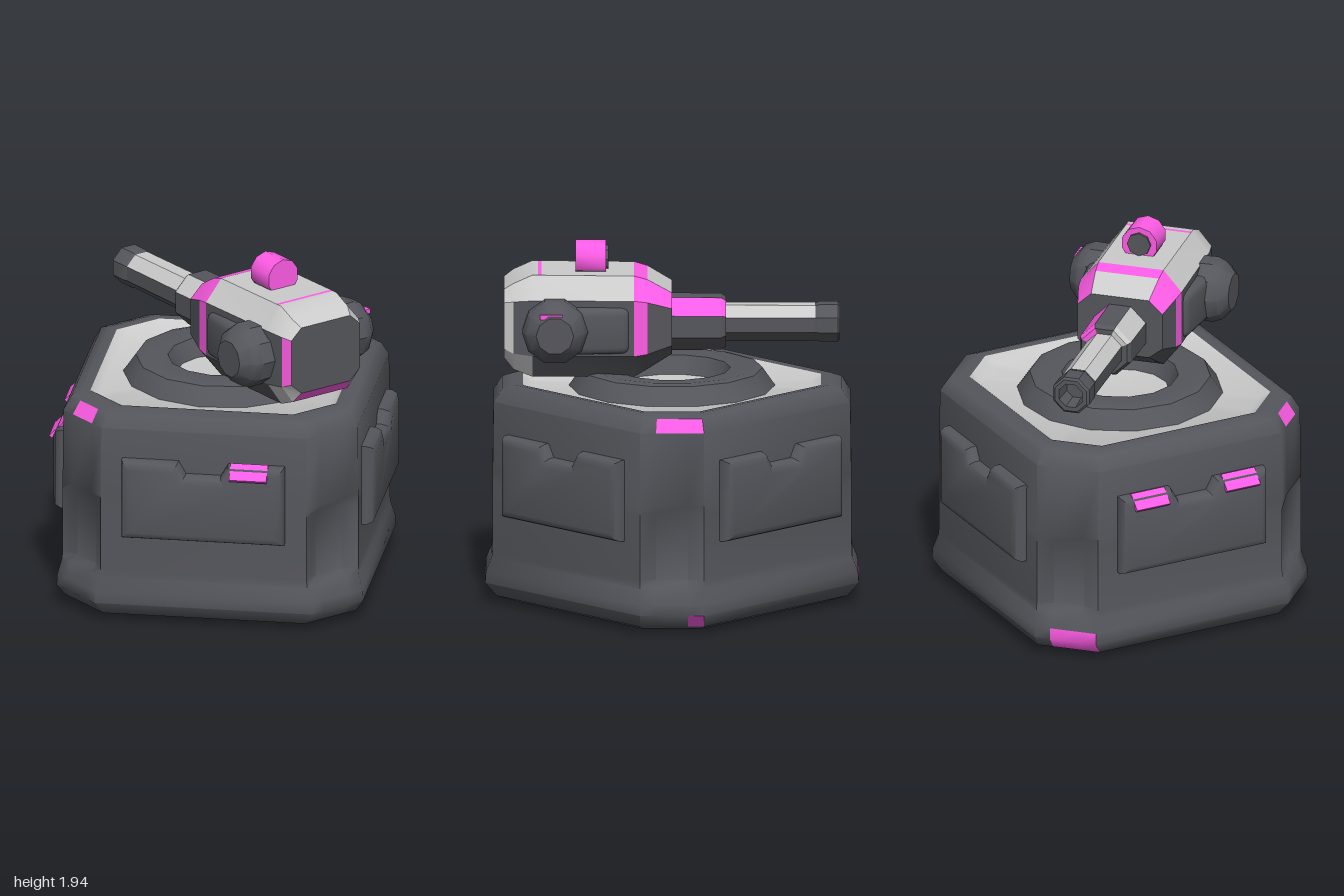
import * as THREE from 'three';
import { toCreasedNormals } from 'three/addons/utils/BufferGeometryUtils.js';
import { RoundedBoxGeometry } from 'three/addons/geometries/RoundedBoxGeometry.js';

const mat = (color) => new THREE.MeshStandardMaterial({ color, side: THREE.DoubleSide });
const DARK = mat(0x55565c), LIGHT = mat(0xcccccc), PINK = mat(0xff5ce6);

function add(parent, name, geometry, material, crease = 0.6) {
  const mesh = new THREE.Mesh(toCreasedNormals(geometry, crease), material);
  mesh.name = name;
  parent.add(mesh);
  return mesh;
}

// Skin closed loops of points; paint(row, column) picks each quad's material.
function loft(name, rows, paint, crease) {
  const group = new THREE.Group(), buckets = new Map();
  group.name = name;
  const n = rows[0].length;
  for (let r = 0; r < rows.length - 1; r++) {
    for (let c = 0; c < n; c++) {
      const d = (c + 1) % n, m = paint(r, c);
      if (!buckets.has(m)) buckets.set(m, []);
      const a = rows[r][c], b = rows[r + 1][c], e = rows[r][d], f = rows[r + 1][d];
      for (const [p, q, s] of [[a, b, e], [e, b, f]]) {
        if (new THREE.Triangle(p, q, s).getArea() > 1e-7) {
          for (const v of [p, q, s]) buckets.get(m).push(v.x, v.y, v.z);
        }
      }
    }
  }
  for (const [m, pos] of buckets) {
    const g = new THREE.BufferGeometry();
    g.setAttribute('position', new THREE.Float32BufferAttribute(pos, 3));
    g.computeVertexNormals();
    add(group, name + 'Skin', g, m, crease);
  }
  return group;
}

// Diamond base: each corner is a flat chamfer that can be dented in its middle.
function makeBase() {
  const levels = [ // y, corner reach, chamfer half width, dent
    [0.01, 0, 0, 0], [0.01, 0.8, 0.15, 0], [0.05, 0.93, 0.17, 0], [0.12, 0.99, 0.17, 0],
    [0.18, 0.985, 0.17, 0], [0.26, 0.955, 0.17, 0], [0.3, 0.95, 0.17, 0.035],
    [0.66, 0.95, 0.17, 0.035], [0.71, 0.95, 0.17, 0], [1.1, 0.945, 0.17, 0],
    [1.17, 0.9, 0.16, 0], [1.19, 0.84, 0.15, 0], [1.185, 0.79, 0.14, 0],
    [1.155, 0.74, 0.13, 0], [1.155, 0, 0, 0],
  ];
  const rows = levels.map(([y, e, w, dent]) => {
    const loop = [];
    for (let k = 0; k < 4; k++) {
      for (const [t, d] of [[-w, 0], [-w / 2, dent], [w / 2, dent], [w, 0]]) {
        let x = e - d, z = t;
        for (let i = 0; i < k; i++) [x, z] = [-z, x];
        loop.push(new THREE.Vector3(x, y, z));
      }
    }
    return loop;
  });
  const base = loft('base', rows, (r, c) => {
    if (r >= 12) return LIGHT;
    if (r === 9 && (c < 2 || c === 9)) return PINK;
    if ((r === 2 || r === 3) && c >= 12 && c < 14) return PINK;
    if (r === 2 && c === 0) return PINK;
    return DARK;
  }, 0.85);

  // Raised, notched plate on each of the four faces
  const plate = new THREE.Shape([
    [-0.39, 0.545], [0.39, 0.545], [0.39, 0.895], [0.16, 0.895], [0.12, 0.825],
    [-0.12, 0.825], [-0.16, 0.895], [-0.39, 0.895],
  ].map(([x, y]) => new THREE.Vector2(x, y)));
  const marks = [[], [], [-0.27, 0.27], [0.25]]; // accent positions per face
  for (let k = 0; k < 4; k++) {
    const side = new THREE.Group();
    side.name = 'sidePlate';
    side.rotation.y = Math.PI / 4 + k * Math.PI / 2;
    const g = new THREE.ExtrudeGeometry(plate, {
      depth: 0.06, bevelThickness: 0.045, bevelSize: 0.045, bevelSegments: 2,
    });
    add(side, 'plate', g, DARK, 0.8).position.z = 0.76;
    for (const x of marks[k]) {
      const mark = add(side, 'plateAccent', new THREE.BoxGeometry(0.2, 0.1, 0.02), PINK);
      mark.position.set(x, 0.911, 0.85);
      mark.rotation.x = -Math.PI / 4;
    }
    base.add(side);
  }

  // Turntable ring on the deck
  const ring = [[0.55, 1.15], [0.48, 1.25], [0.44, 1.26], [0.31, 1.25], [0.26, 1.15]]
    .map(([x, y]) => new THREE.Vector2(x, y));
  add(base, 'turntableRing', new THREE.LatheGeometry(ring, 14), DARK);
  return base;
}

// Eight-sided tube along -z, one material per facet starting at the top.
function facetTube(parent, name, profile, colours) {
  const pts = profile.map(([r, d]) => new THREE.Vector2(r, d));
  colours.forEach((m, i) => {
    const g = new THREE.LatheGeometry(pts, 1, (i - 0.5) * Math.PI / 4, Math.PI / 4);
    g.rotateX(-Math.PI / 2);
    add(parent, name, g, m, 0.4).position.y = 1.5;
  });
}

function makeTurret() {
  const sections = [ // z, half width, half top, yTop, yHigh, yLow, yBottom
    [0.89, 0, 0, 1.52, 1.52, 1.52, 1.52],
    [0.89, 0.225, 0.16, 1.71, 1.65, 1.4, 1.34],
    [0.84, 0.25, 0.18, 1.745, 1.66, 1.38, 1.28],
    [0.74, 0.27, 0.18, 1.79, 1.67, 1.37, 1.24],
    [0.71, 0.27, 0.18, 1.79, 1.67, 1.37, 1.24],
    [0.69, 0.27, 0.18, 1.79, 1.67, 1.37, 1.24],
    [0.2, 0.28, 0.18, 1.785, 1.67, 1.37, 1.24],
    [0.13, 0.27, 0.175, 1.765, 1.66, 1.38, 1.28],
    [0, 0.235, 0.16, 1.69, 1.62, 1.42, 1.36],
    [0, 0, 0, 1.52, 1.52, 1.52, 1.52],
  ];
  const rows = sections.map(([z, w, t, top, hi, lo, bot]) =>
    [[w, lo], [w, hi], [t, top], [-t, top], [-w, hi], [-w, lo], [-t, bot], [t, bot]]
      .map(([x, y]) => new THREE.Vector3(x, y, z)));
  const turret = loft('turret', rows, (r, c) => {
    const upper = c >= 1 && c <= 3;
    if (r === 0 || r === 8) return DARK;
    if (r === 1) return c === 4 || c === 6 ? PINK : LIGHT;
    if (r === 2) return upper || c === 5 || c === 7 ? LIGHT : DARK;
    if (r === 4 && c === 2) return PINK;
    if (r === 6) return c < 5 ? PINK : DARK;
    if (r === 7 && (c === 1 || c === 3)) return PINK;
    return upper ? LIGHT : DARK;
  }, 0.5);

  // Side pods and the fairings behind them
  const pod = [[0.17, 0.2], [0.175, 0.34], [0.155, 0.39], [0.1, 0.44], [0, 0.44]]
    .map(([r, d]) => new THREE.Vector2(r, d));
  for (const s of [-1, 1]) {
    const p = add(turret, 'sidePod', new THREE.LatheGeometry(pod, 10), DARK);
    p.rotation.z = -s * Math.PI / 2;
    p.position.set(0, 1.515, 0.62);
    const f = add(turret, 'podFairing', new RoundedBoxGeometry(0.14, 0.25, 0.34, 2, 0.04), DARK, 0.9);
    f.position.set(s * 0.255, 1.51, 0.4);
    f.rotation.y = s * 0.12;
  }
  const mark = add(turret, 'podAccent', new THREE.BoxGeometry(0.04, 0.025, 0.12), PINK);
  mark.position.set(0.412, 1.615, 0.64);

  // Gun: thick sleeve, thinner barrel, hollow muzzle
  const D = DARK, L = LIGHT, P = PINK;
  facetTube(turret, 'gunSleeve', [[0.155, -0.05], [0.152, 0.26], [0.135, 0.285], [0.08, 0.285]],
    [D, P, D, D, D, D, D, L]);
  facetTube(turret, 'gunBarrel', [[0.105, 0.27], [0.103, 0.76]], [L, L, D, D, D, D, D, L]);
  facetTube(turret, 'muzzle', [[0.1, 0.76], [0.108, 0.78], [0.108, 0.88], [0.095, 0.89], [0.07, 0.89], [0.06, 0.78], [0, 0.78]],
    Array(8).fill(D));

  // Sight on the roof, with a dark lens facing the gun
  add(turret, 'sightFoot', new THREE.BoxGeometry(0.16, 0.08, 0.15), DARK).position.set(0, 1.81, 0.43);
  const body = new THREE.CylinderGeometry(0.1, 0.1, 0.16, 10).rotateX(Math.PI / 2);
  add(turret, 'sight', body, PINK, 0.8).position.set(0, 1.845, 0.43);
  const lens = new THREE.CylinderGeometry(0.065, 0.065, 0.02, 8).rotateX(Math.PI / 2);
  add(turret, 'sightLens', lens, DARK).position.set(0, 1.85, 0.346);
  return turret;
}

export function createModel() {
  const model = new THREE.Group();
  model.name = 'gunTurret';
  model.add(makeBase(), makeTurret());
  return model;
}
